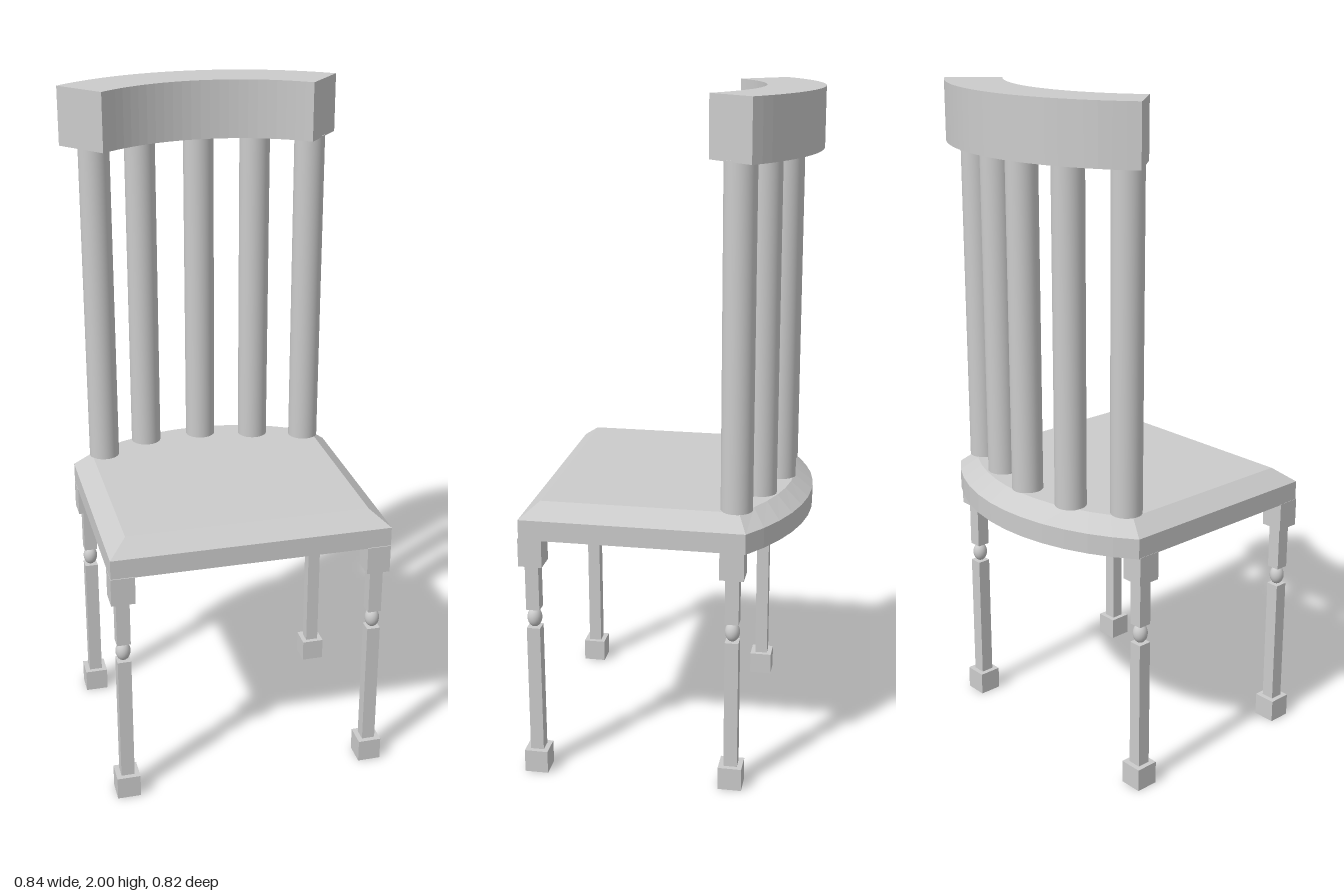
import * as THREE from 'three';

const flat = new THREE.MeshStandardMaterial({ color: 0xcccccc, flatShading: true });
const smooth = new THREE.MeshStandardMaterial({ color: 0xcccccc });

function add(parent, name, geometry, x, y, z, material = flat) {
  const mesh = new THREE.Mesh(geometry, material);
  mesh.name = name;
  mesh.position.set(x, y, z);
  parent.add(mesh);
  return mesh;
}

// Seat outline with a bowed back edge, moved inwards by the given inset.
function seatRing(inset, y) {
  const half = 0.415 - inset, radius = 0.655 - inset, centre = 0.255;
  const sweep = Math.asin(half / radius);
  const ring = [[-half, y, 0.405 - inset], [half, y, 0.405 - inset]];
  for (let i = 0; i <= 12; i++) {
    const a = sweep * (1 - i / 6);
    ring.push([radius * Math.sin(a), y, centre - radius * Math.cos(a)]);
  }
  return ring;
}

// Seat slab with a chamfered top edge, closed by a fan above and below.
function seatGeometry() {
  const rings = [seatRing(0, 0.75), seatRing(0, 0.81), seatRing(0.054, 0.853)];
  const n = rings[0].length, p = [];
  for (let i = 0; i < n; i++) {
    const j = (i + 1) % n;
    for (let k = 0; k < 2; k++) {
      const [a, b, c, d] = [rings[k][i], rings[k][j], rings[k + 1][j], rings[k + 1][i]];
      p.push(...a, ...b, ...c, ...a, ...c, ...d);
    }
    p.push(0, 0.75, 0, ...rings[0][j], ...rings[0][i]);
    p.push(0, 0.853, 0, ...rings[2][i], ...rings[2][j]);
  }
  const g = new THREE.BufferGeometry();
  g.setAttribute('position', new THREE.Float32BufferAttribute(p, 3));
  g.computeVertexNormals();
  return g;
}

// Curved top rail: a ring sector extruded upwards.
function railGeometry() {
  const sweep = 0.697, mid = Math.PI / 2;
  const shape = new THREE.Shape();
  shape.absarc(0, -0.245, 0.653, mid - sweep, mid + sweep, false);
  shape.absarc(0, -0.245, 0.485, mid + sweep, mid - sweep, true);
  const g = new THREE.ExtrudeGeometry(shape, { depth: 0.172, bevelEnabled: false, curveSegments: 12 });
  return g.rotateX(-Math.PI / 2);
}

// Leg: square posts and blocks with a turned bead between the posts.
function makeLeg(name, x, z) {
  const leg = new THREE.Group();
  leg.name = name;
  leg.position.set(x, 0, z);
  const block = (part, w, y0, y1) =>
    add(leg, part, new THREE.BoxGeometry(w, y1 - y0, w), 0, (y0 + y1) / 2, 0);
  block('foot', 0.07, 0, 0.07);
  block('lowerPost', 0.04, 0.07, 0.467);
  add(leg, 'bead', new THREE.SphereGeometry(0.022, 20, 14), 0, 0.496, 0, smooth).scale.y = 1.35;
  block('upperPost', 0.04, 0.525, 0.667);
  block('cornerBlock', 0.07, 0.667, 0.752);
  return leg;
}

export function createModel() {
  const chair = new THREE.Group();
  chair.name = 'chair';

  add(chair, 'seat', seatGeometry(), -0.003, 0, 0);
  add(chair, 'topRail', railGeometry(), 0, 1.828, 0);

  // Spindles follow the bow of the back
  const spindles = [[-0.325, -0.215], [-0.175, -0.293], [0.007, -0.304], [0.172, -0.265], [0.329, -0.215]];
  const spindleGeometry = new THREE.CylinderGeometry(0.046, 0.046, 0.98, 32);
  spindles.forEach(([x, z], i) => add(chair, `spindle${i + 1}`, spindleGeometry, x, 1.342, z, smooth));

  for (const [side, x] of [['Right', -0.384], ['Left', 0.376]]) {
    chair.add(makeLeg(`front${side}Leg`, x, 0.373));
    chair.add(makeLeg(`back${side}Leg`, x, -0.213));
  }
  return chair;
}
